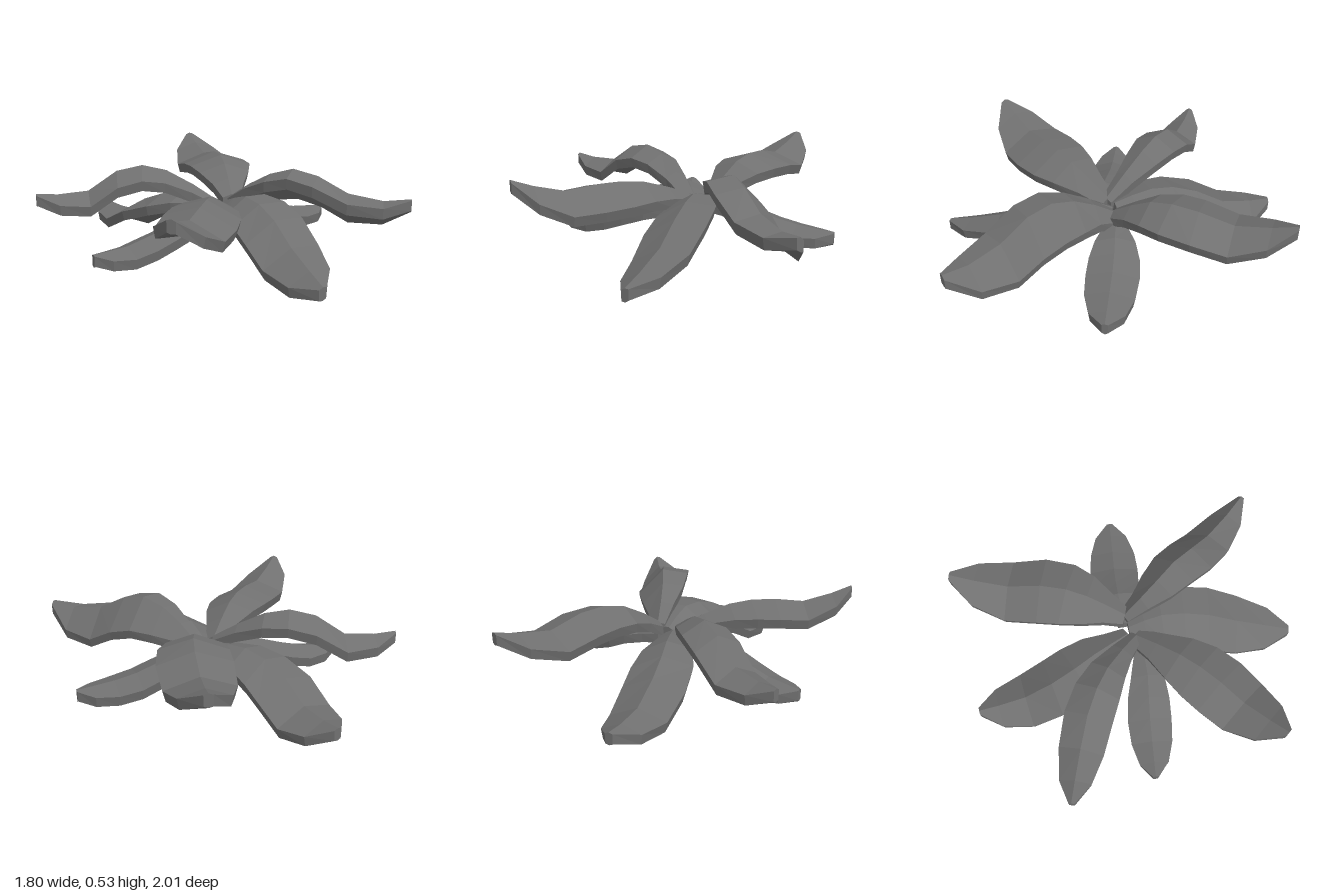
import * as THREE from 'three';

const leafGrey = new THREE.MeshStandardMaterial({ color: 0x707070 });
leafGrey.name = 'leafGrey';
leafGrey.flatShading = true;

// stations along a leaf and the share of its half width at each
const STATIONS = [0, 0.12, 0.25, 0.4, 0.56, 0.73, 0.89, 1];
const WIDTHS = [0.27, 0.48, 0.77, 0.95, 1, 0.93, 0.66, 0.12];

// a thick folded leaf hung from its ridge line; fold is the drop to the edges,
// roll tips the blade sideways (positive raises its right edge, seen from the base)
function leaf(name, halfWidth, fold, roll, ridge) {
  const curve = new THREE.CatmullRomCurve3(ridge.map(p => new THREE.Vector3(...p)));
  const up = new THREE.Vector3(0, 1, 0);
  const pos = [], index = [];
  STATIONS.forEach((t, i) => {
    const p = curve.getPoint(t);
    const side = curve.getTangent(t).cross(up).setY(0).normalize();
    const w = halfWidth * WIDTHS[i], drop = fold * WIDTHS[i], wall = 0.06;
    // ridge, right top, right bottom, underside fold, left bottom, left top
    const section = [
      [0, 0], [w, -drop], [w * 0.92, -drop - wall],
      [0, -0.075], [-w * 0.92, -drop - wall], [-w, -drop],
    ];
    for (const [s, y] of section) pos.push(p.x + side.x * s, p.y + y + roll * s, p.z + side.z * s);
  });
  const n = 6, last = (STATIONS.length - 1) * n;
  for (let i = 0; i < last; i += n) {
    for (let j = 0; j < n; j++) {
      const a = i + j, b = i + (j + 1) % n;
      index.push(a, b, b + n, a, b + n, a + n);
    }
  }
  // end caps
  for (let j = 1; j < n - 1; j++) {
    index.push(0, j + 1, j, last, last + j, last + j + 1);
  }
  const indexed = new THREE.BufferGeometry();
  indexed.setAttribute('position', new THREE.Float32BufferAttribute(pos, 3));
  indexed.setIndex(index);
  const geometry = indexed.toNonIndexed();
  geometry.computeVertexNormals();
  const mesh = new THREE.Mesh(geometry, leafGrey);
  mesh.name = name;
  return mesh;
}

export function createModel() {
  const plant = new THREE.Group();
  plant.name = 'leafRosette';
  plant.add(
    // upper leaves: arched, with raised tips
    leaf('frontLeftLeaf', 0.165, 0.1, 0.45, [[0.17, 0.32, -0.02], [0.27, 0.46, 0.16], [0.38, 0.525, 0.31], [0.49, 0.48, 0.46], [0.64, 0.37, 0.62], [0.83, 0.39, 0.82]]),
    leaf('frontRightLeaf', 0.2, 0.08, 0.12, [[0.04, 0.32, 0.03], [-0.16, 0.43, 0.26], [-0.32, 0.45, 0.42], [-0.51, 0.43, 0.58], [-0.715, 0.52, 0.76]]),
    leaf('backRightLeaf', 0.14, 0.07, 0, [[0.04, 0.32, 0.04], [-0.2, 0.5, -0.16], [-0.4, 0.525, -0.28], [-0.63, 0.38, -0.38], [-0.9, 0.39, -0.46]]),
    leaf('backLeftLeaf', 0.205, 0.07, 0, [[0.17, 0.33, -0.01], [0.26, 0.47, -0.22], [0.34, 0.5, -0.42], [0.41, 0.44, -0.7], [0.49, 0.52, -1]]),
    // lower leaves: drooping, with level tips
    leaf('frontLeaf', 0.185, 0.06, -0.28, [[0.1, 0.3, 0], [0.12, 0.37, 0.2], [0.11, 0.33, 0.43], [0.08, 0.19, 0.69], [0.02, 0.1, 1]]),
    leaf('leftLeaf', 0.15, 0.04, 0, [[0.14, 0.28, -0.02], [0.34, 0.27, -0.03], [0.5, 0.21, -0.03], [0.69, 0.17, -0.02], [0.89, 0.15, -0.01]]),
    leaf('rightLeaf', 0.13, 0.045, 0, [[0.05, 0.28, 0.06], [-0.2, 0.26, 0.07], [-0.4, 0.2, 0.05], [-0.59, 0.15, 0.04], [-0.78, 0.14, 0.03]]),
    leaf('backLeaf', 0.19, 0.07, -0.13, [[0.06, 0.3, -0.01], [-0.05, 0.33, -0.22], [-0.15, 0.27, -0.44], [-0.2, 0.14, -0.69], [-0.24, 0.15, -0.95]]),
  );
  return plant;
}
